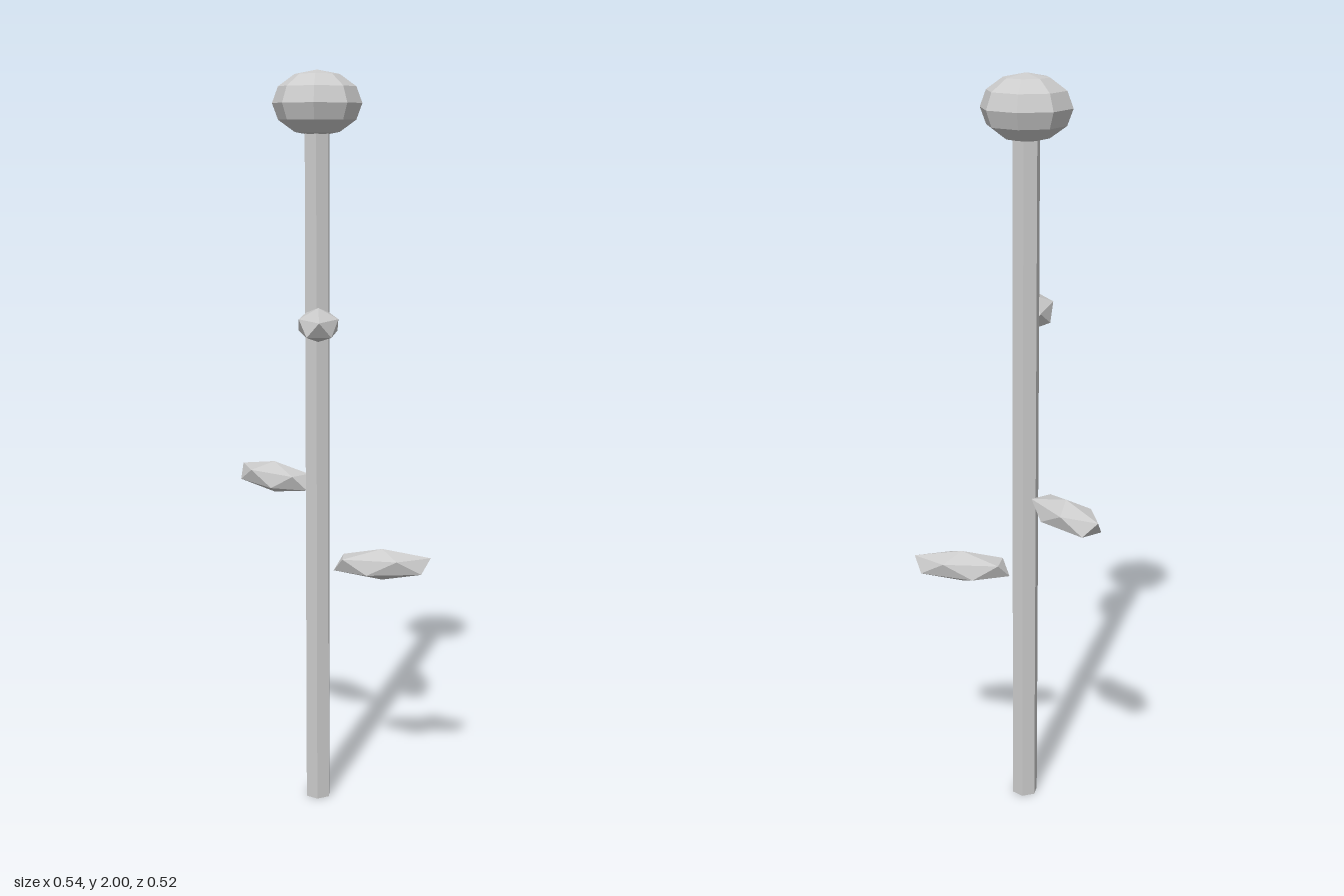
import * as THREE from 'three';

const STEM_X = -0.041, STEM_Z = -0.047;
const GOLDEN_ANGLE = THREE.MathUtils.degToRad(137.5);

// Stretched icosahedron standing on a vertex, one upper vertex forming the tip at +z
function leafGeometry() {
  const geometry = new THREE.IcosahedronGeometry(1, 0);
  geometry.rotateX(-Math.atan((1 + Math.sqrt(5)) / 2));
  geometry.scale(0.059, 0.0437, 0.149);
  geometry.computeVertexNormals();
  return geometry;
}

export function createModel() {
  const model = new THREE.Group();
  model.name = 'flowerStalk';
  const material = new THREE.MeshStandardMaterial({ color: 0xcccccc, flatShading: true });

  const addPart = (name, geometry, x, y, z) => {
    const mesh = new THREE.Mesh(geometry, material);
    mesh.name = name;
    mesh.position.set(x, y, z);
    model.add(mesh);
    return mesh;
  };

  // Six-sided stem, ending inside the bud
  const stemHeight = 1.88;
  addPart('stem', new THREE.CylinderGeometry(0.036, 0.036, stemHeight, 6), STEM_X, stemHeight / 2, STEM_Z);

  // Flattened faceted bud
  const bud = new THREE.SphereGeometry(0.118, 8, 6);
  bud.scale(1, 0.72, 1);
  addPart('bud', bud, STEM_X, 1.915, STEM_Z);

  // Leaves spiralling up around the stem
  const leaf = leafGeometry();
  const reach = 0.177;
  [0.677, 0.894, 1.357].forEach((height, i) => {
    const angle = -i * GOLDEN_ANGLE;
    const mesh = addPart(`leaf${i + 1}`, leaf,
      STEM_X + reach * Math.cos(angle), height, STEM_Z + reach * Math.sin(angle));
    mesh.rotation.y = Math.PI / 2 - angle;
  });

  return model;
}
